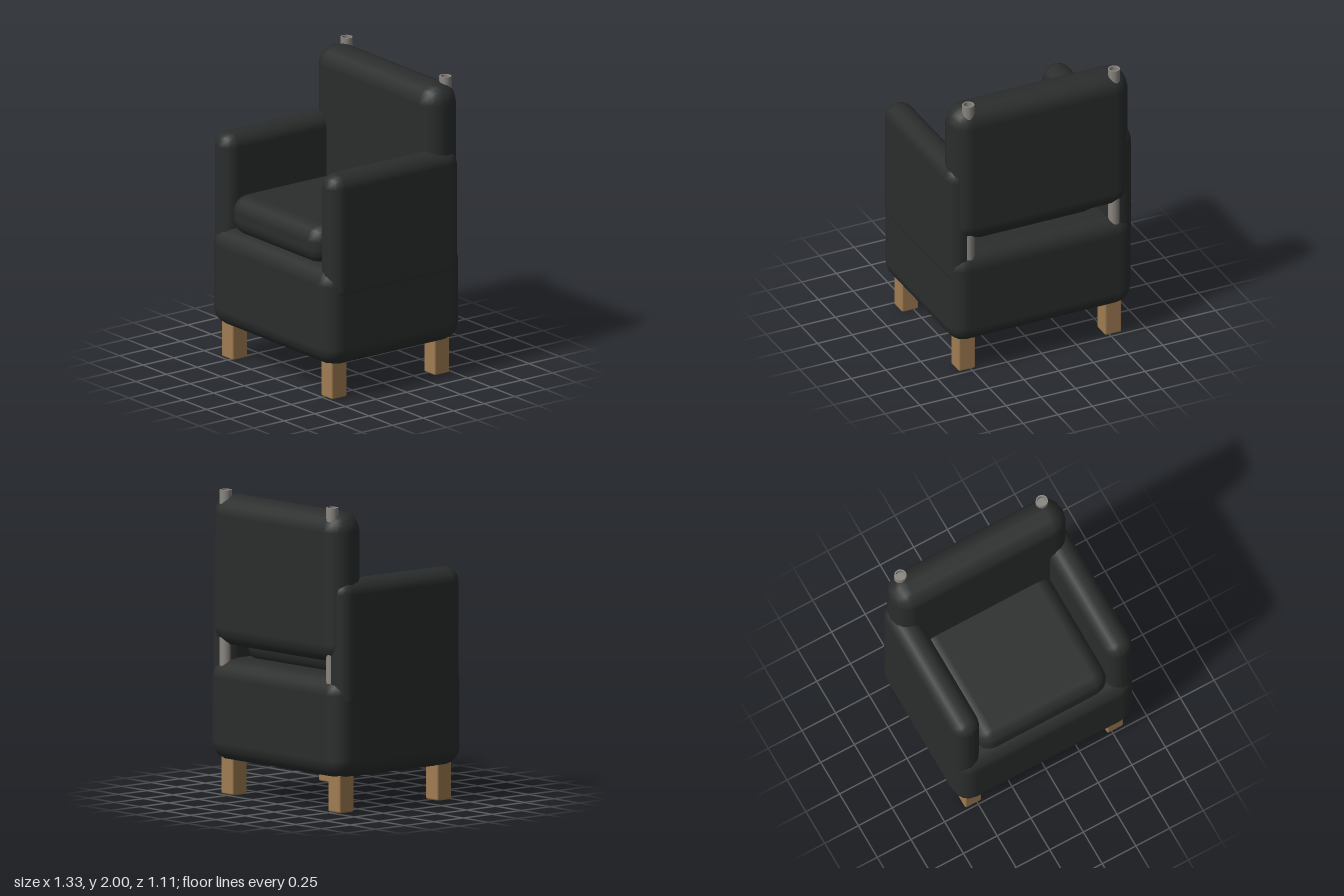
import * as THREE from 'three';
import { RoundedBoxGeometry } from 'three/addons/geometries/RoundedBoxGeometry.js';

const fabric = new THREE.MeshStandardMaterial({ color: 0x2b2d2d });
const wood = new THREE.MeshStandardMaterial({ color: 0xa07c52 });
const metal = new THREE.MeshStandardMaterial({ color: 0x8a8680 });

// Rounded block given by its extents on each axis
function block(name, [x0, x1], [y0, y1], [z0, z1], radius, material, segments = 2) {
  const geometry = new RoundedBoxGeometry(x1 - x0, y1 - y0, z1 - z0, segments, radius);
  const mesh = new THREE.Mesh(geometry, material);
  mesh.position.set((x0 + x1) / 2, (y0 + y1) / 2, (z0 + z1) / 2);
  mesh.name = name;
  return mesh;
}

export function createModel() {
  const chair = new THREE.Group();
  chair.name = 'armchair';

  // Upholstered body
  chair.add(
    block('seatBase', [-0.66, 0.66], [0.225, 0.9], [-0.555, 0.555], 0.125, fabric),
    block('seatCushion', [-0.48, 0.48], [0.87, 1.14], [-0.4, 0.52], 0.11, fabric),
    block('backrest', [-0.64, 0.64], [0.975, 1.97], [-0.555, -0.285], 0.13, fabric),
  );

  // Hollow-topped support post profile: outer wall, rim, recess
  const postProfile = [
    [0, 0.8], [0.04, 0.8], [0.04, 0.8], [0.04, 2], [0.04, 2], [0.03, 2],
    [0.03, 2], [0.03, 1.97], [0.03, 1.97], [0, 1.97],
  ].map(([r, y]) => new THREE.Vector2(r, y));

  for (const [side, s] of [['left', 1], ['right', -1]]) {
    const arm = block(side + 'Arm', [0.47, 0.665], [0.65, 1.53], [-0.525, 0.525], 0.095, fabric);
    arm.position.x *= s;
    chair.add(arm);

    const post = new THREE.Mesh(new THREE.LatheGeometry(postProfile, 16), metal);
    post.position.set(s * 0.525, 0, -0.49);
    post.name = side + 'BackPost';
    chair.add(post);

    // Square wooden legs with slightly eased edges
    for (const [end, z] of [['Front', 0.423], ['Back', -0.418]]) {
      const leg = block(side + end + 'Leg', [-0.06, 0.06], [0, 0.32], [-0.062, 0.062], 0.012, wood, 1);
      leg.position.x = s * 0.527;
      leg.position.z = z;
      chair.add(leg);
    }
  }
  return chair;
}
